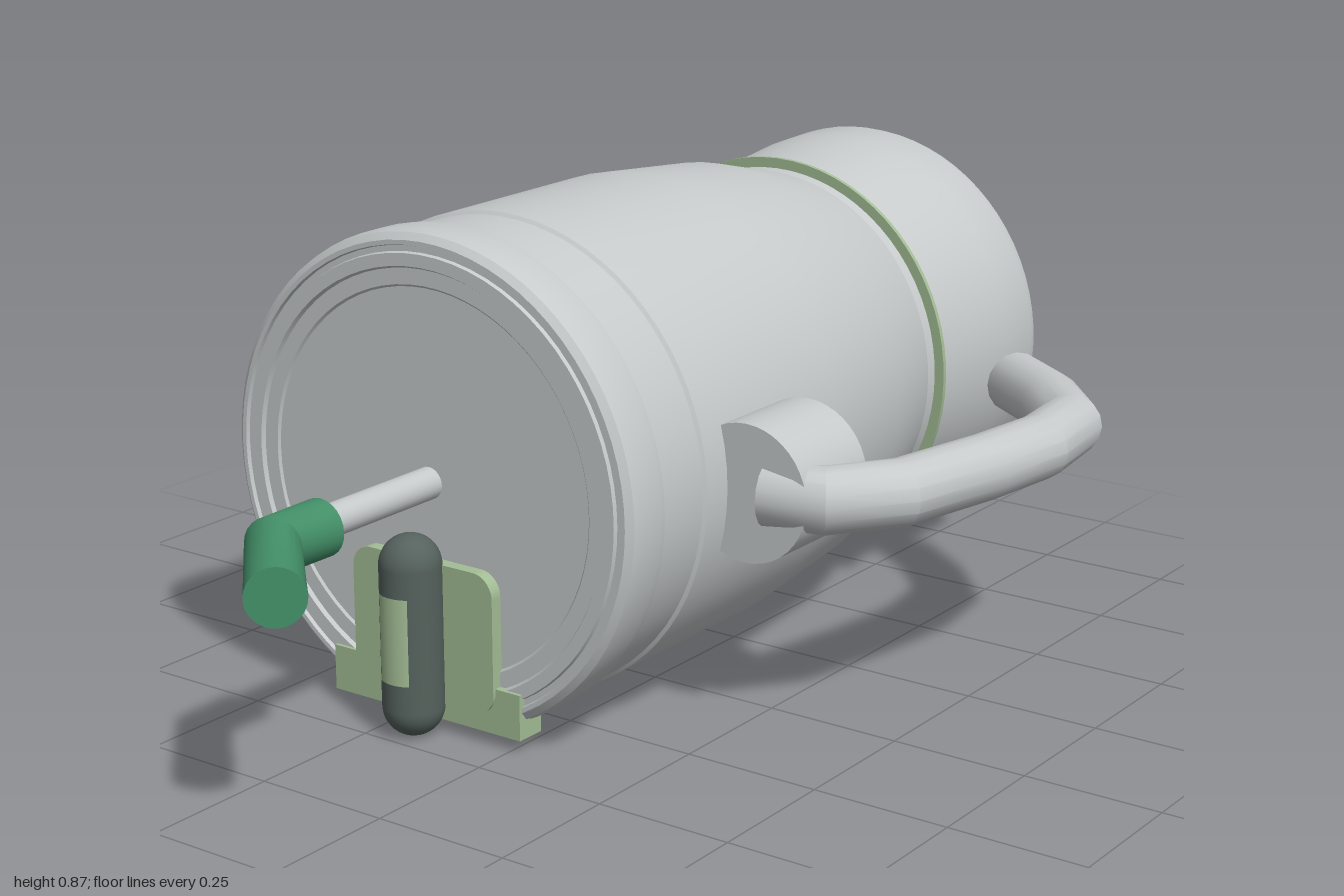
import * as THREE from 'three';
import { toCreasedNormals } from 'three/addons/utils/BufferGeometryUtils.js';

const mat = (name, color, side = THREE.FrontSide) => {
  const m = new THREE.MeshStandardMaterial({ color, side });
  m.name = name;
  return m;
};

// Tube path through straight segments, one ring per point
class PolyPath extends THREE.Curve {
  constructor(points) {
    super();
    this.points = points;
  }
  getPointAt(u) {
    return this.points[Math.round(u * (this.points.length - 1))].clone();
  }
  getTangentAt(u) {
    const p = this.points, i = Math.round(u * (p.length - 1));
    const t = new THREE.Vector3();
    if (i > 0) t.add(p[i].clone().sub(p[i - 1]).normalize());
    if (i < p.length - 1) t.add(p[i + 1].clone().sub(p[i]).normalize());
    return t.normalize();
  }
}

export function createModel() {
  const model = new THREE.Group();
  const steel = mat('light grey', 0xc6cacb);
  const paleGreen = mat('pale green', 0xa3bd95);
  const darkGrey = mat('dark grey green', 0x55625d);
  const green = mat('straw green', 0x438f68);
  const CX = -0.18, CY = 0.441;

  const add = (name, geometry, material, x = 0, y = 0, z = 0) => {
    const mesh = new THREE.Mesh(geometry, material);
    mesh.name = name;
    mesh.position.set(x, y, z);
    model.add(mesh);
    return mesh;
  };
  // Turned shape around the z axis, points are [radius, z]
  const turned = (pts, crease = 0.35) => toCreasedNormals(
    new THREE.LatheGeometry(pts.map(([r, z]) => new THREE.Vector2(r, z)), 72).rotateX(Math.PI / 2), crease);
  const rod = (r, z0, z1, sides = 24) =>
    new THREE.CylinderGeometry(r, r, z1 - z0, sides).rotateX(Math.PI / 2).translate(0, 0, (z0 + z1) / 2);

  // Hollow body: inner wall, rim, outer wall
  add('body', turned([
    [0, 0.3], [0.39, 0.3], [0.4, 0.2], [0.4, -0.2], [0.378, -0.45], [0.335, -0.63],
    [0.355, -0.8], [0.36, -0.98], [0.362, -0.998], [0.374, -1], [0.384, -0.992], [0.39, -0.97],
    [0.388, -0.88], [0.38, -0.8], [0.358, -0.63], [0.403, -0.45], [0.427, -0.2], [0.427, 0.195],
    [0.421, 0.2], [0.421, 0.33],
  ]), steel, CX, CY);

  // Lid with stepped concentric grooves on its face
  add('lid', turned([
    [0.421, 0.315], [0.43, 0.32], [0.432, 0.335], [0.432, 0.385], [0.428, 0.4], [0.416, 0.41],
    [0.408, 0.41], [0.406, 0.403], [0.396, 0.403], [0.394, 0.41], [0.372, 0.41], [0.368, 0.403],
    [0.34, 0.403], [0.336, 0.399], [0, 0.399],
  ]), steel, CX, CY);

  // Thin seal at the neck
  add('neckSeal', turned([[0.34, -0.659], [0.38, -0.659], [0.38, -0.65], [0.34, -0.65]]), paleGreen, CX, CY);

  // Small latch under the drinking rim
  add('rimLatch', new THREE.BoxGeometry(0.2, 0.035, 0.055), darkGrey, CX, 0.081, -0.83);
  add('latchKnob', new THREE.SphereGeometry(0.033, 20, 14), steel, CX, 0.042, -0.83);

  // Straw and its bent mouthpiece
  add('straw', rod(0.028, 0.38, 0.72), steel, CX, CY);
  const mouthPath = new PolyPath([[CX + 0.01, 0.678], [CX + 0.01, 0.79], [-0.004, 0.963]]
    .map(([x, z]) => new THREE.Vector3(x, CY, z)));
  const capAt = (name, path, end, r, sides, material) => {
    const dir = path.getTangentAt(end).multiplyScalar(end ? 1 : -1);
    const cap = add(name, new THREE.CircleGeometry(r, sides), material);
    cap.position.copy(path.getPointAt(end));
    cap.quaternion.setFromUnitVectors(new THREE.Vector3(0, 0, 1), dir);
  };
  add('mouthpiece', toCreasedNormals(new THREE.TubeGeometry(mouthPath, 2, 0.049, 24), 0.5), green);
  capAt('mouthpieceBack', mouthPath, 0, 0.049, 24, green);
  capAt('mouthpieceTip', mouthPath, 1, 0.049, 24, green);

  // Side handle and its round mount
  add('handleMount', rod(0.121, -0.05, 0.137, 40), steel, 0.282, CY);
  const handlePath = new PolyPath([
    [0.315, -0.72], [0.435, -0.635], [0.53, -0.53], [0.55, -0.38], [0.53, -0.22],
    [0.488, -0.02], [0.41, 0.09], [0.31, 0.11],
  ].map(([x, z]) => new THREE.Vector3(x, CY, z)));
  add('handle', toCreasedNormals(new THREE.TubeGeometry(handlePath, 7, 0.058, 16), 0.45), steel);
  capAt('handleTopEnd', handlePath, 0, 0.058, 16, steel);
  capAt('handleBottomEnd', handlePath, 1, 0.058, 16, steel);

  // Spout bracket: foot bar and rounded plate
  add('bracketBar', new THREE.BoxGeometry(0.41, 0.082, 0.057), paleGreen, -0.184, 0.069, 0.388);
  const w = 0.1525, h = 0.125, r = 0.04;
  const plate = new THREE.Shape();
  [[w, h, 0], [-w, h, 1], [-w, -h, 2], [w, -h, 3]].forEach(([x, y, q]) => {
    plate.absarc(x - Math.sign(x) * r, y - Math.sign(y) * r, r, q * Math.PI / 2, (q + 1) * Math.PI / 2);
  });
  add('bracketPlate', new THREE.ExtrudeGeometry(plate, { depth: 0.03, bevelEnabled: false, curveSegments: 6 }),
    paleGreen, -0.183, 0.185, 0.392);

  // Upright lever with a pale grip strip on its front
  add('lever', new THREE.CapsuleGeometry(0.054, 0.252, 10, 28), darkGrey, -0.182, 0.185, 0.45);
  add('leverGrip', new THREE.CylinderGeometry(0.0555, 0.0555, 0.155, 12, 1, true, -0.58, 1.16),
    paleGreen, -0.182, 0.188, 0.45);

  return model;
}
